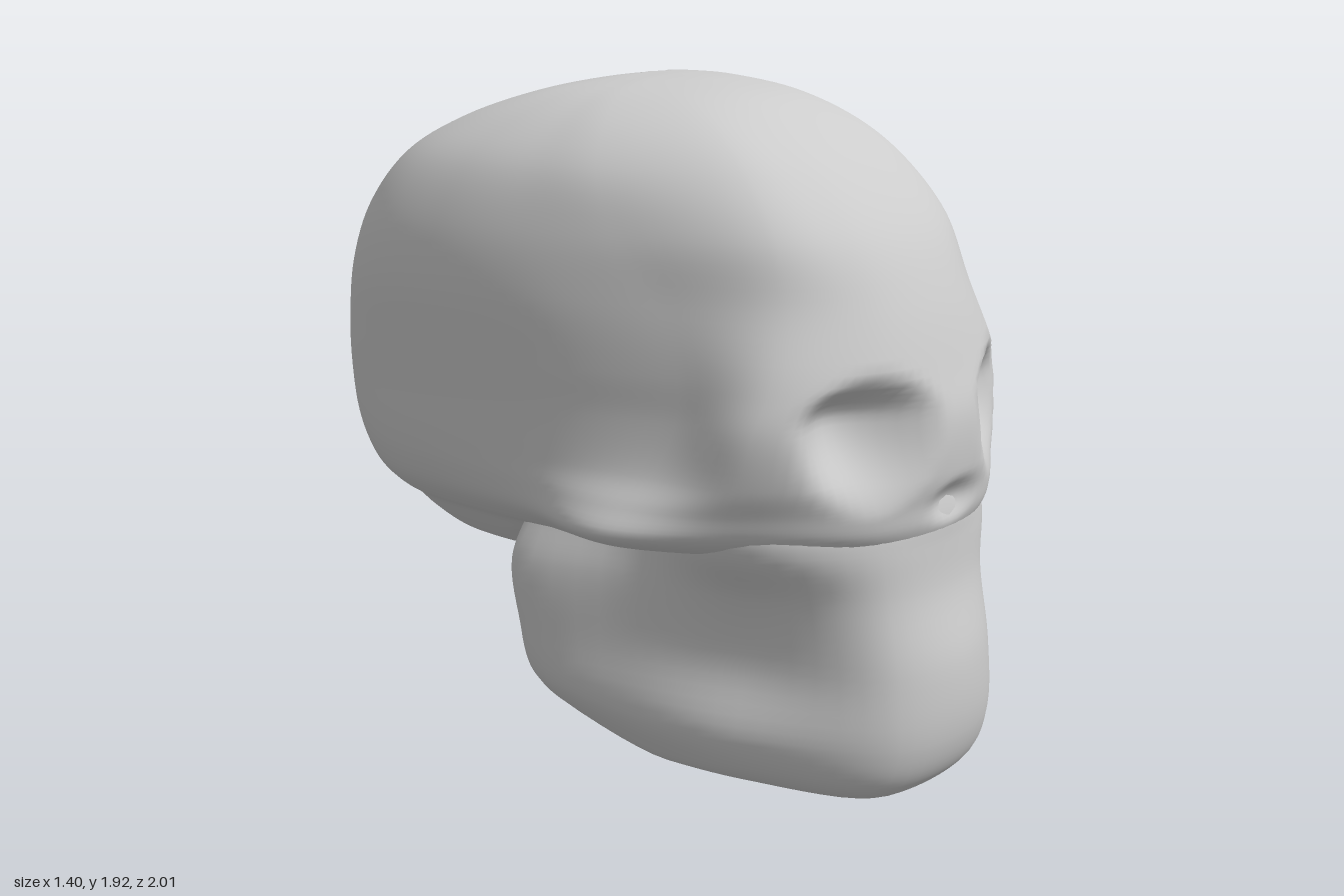
import * as THREE from 'three';

const V = (x, z, y) => new THREE.Vector3(x, y, z);
const mirrored = (half) => half.concat(half.slice(1, -1).reverse().map((p) => V(-p.x, p.z, p.y)));

// Smooth closed skin through horizontal rings listed from top to bottom
function loft(rings, perRing, perLevel, capped, shape) {
  const cols = rings[0].length * perRing;
  const curves = rings.map((r) => new THREE.CatmullRomCurve3(r, true));
  const rows = (rings.length - 1) * perLevel + 1;
  const grid = Array.from({ length: rows }, () => []);
  for (let j = 0; j < cols; j++) {
    const column = new THREE.CatmullRomCurve3(curves.map((c) => c.getPoint(j / cols)));
    for (let i = 0; i < rows; i++) grid[i].push(shape(column.getPoint(i / (rows - 1))));
  }
  if (capped) {
    const centre = (r) => r.reduce((s, p) => s.add(p), V(0, 0, 0)).divideScalar(cols);
    const top = centre(grid[0]), bottom = centre(grid[rows - 1]);
    grid.unshift(grid[0].map(() => top));
    grid.push(grid[0].map(() => bottom));
  }
  const index = [];
  for (let i = 0; i < grid.length - 1; i++) {
    for (let j = 0; j < cols; j++) {
      const k = (j + 1) % cols;
      const a = i * cols + j, b = a + cols, c = i * cols + k, d = c + cols;
      index.push(a, b, c, c, b, d);
    }
  }
  const g = new THREE.BufferGeometry().setFromPoints(grid.flat());
  g.setIndex(index);
  g.computeVertexNormals();
  return g;
}

// Cranium and upper face: y, front z, brow corner x z, temple x z, half width, back z
const skullLevels = [
  [1.93, 0.04, 0.03, 0.03, 0.04, 0.01, 0.04, -0.04],
  [1.918, 0.17, 0.12, 0.12, 0.18, 0.03, 0.19, -0.16],
  [1.88, 0.34, 0.24, 0.24, 0.33, 0.06, 0.35, -0.34],
  [1.8, 0.5, 0.32, 0.4, 0.46, 0.12, 0.49, -0.58],
  [1.7, 0.64, 0.37, 0.52, 0.54, 0.17, 0.59, -0.755],
  [1.55, 0.78, 0.41, 0.63, 0.57, 0.25, 0.655, -0.88],
  [1.38, 0.87, 0.43, 0.68, 0.55, 0.38, 0.68, -0.95],
  [1.2, 0.935, 0.5, 0.71, 0.55, 0.45, 0.67, -0.99],
  [1.08, 0.97, 0.55, 0.69, 0.56, 0.45, 0.66, -1.0],
  [0.94, 0.97, 0.56, 0.66, 0.6, 0.4, 0.655, -0.98],
  [0.86, 0.955, 0.56, 0.62, 0.66, 0.34, 0.645, -0.95],
  [0.79, 0.945, 0.54, 0.61, 0.7, 0.31, 0.62, -0.915],
  [0.735, 0.915, 0.47, 0.58, 0.61, 0.29, 0.57, -0.88],
  [0.7, 0.85, 0.38, 0.48, 0.46, 0.2, 0.52, -0.85],
  [0.64, -0.08, 0.3, -0.1, 0.42, -0.14, 0.46, -0.81],
  [0.58, -0.2, 0.25, -0.21, 0.36, -0.23, 0.38, -0.73],
  [0.55, -0.3, 0.12, -0.32, 0.2, -0.38, 0.24, -0.62],
];

function skullRing([y, zf, x1, z1, x2, z2, w, zb]) {
  const half = [V(0, zf, y), V(x1 * 0.55, z1 + (zf - z1) * 0.78, y), V(x1, z1, y), V(x2, z2, y)];
  const zw = Math.min(zb * 0.35, z2 - 0.08);
  half.push(V(x2 + (w - x2) * 0.78, (z2 + zw) / 2, y));
  // rounded back of the head
  for (let k = 0; k <= 4; k++) {
    const a = (k / 4) * Math.PI / 2;
    const e = 2 / 2.5;
    half.push(V(k === 4 ? 0 : w * Math.cos(a) ** e, zw + (zb - zw) * Math.sin(a) ** e, y));
  }
  return mirrored(half);
}

// Soft hollow that fades to nothing at its rim
const hollow = (dx, dy) => Math.max(0, 1 - dx * dx - dy * dy) ** 1.8;

function carveFace(p) {
  if (p.z > 0.45 && p.y > 0.7) {
    const dx = (Math.abs(p.x) - 0.29) / 0.21;
    const dy = p.y - 1.09;
    const socket = hollow(dx, dy / (dy > 0 ? 0.13 : 0.25));
    const nose = hollow(p.x / 0.13, (p.y - 0.85) / 0.07);
    p.z -= 0.15 * socket + 0.03 * nose;
  }
  return p;
}

// Jaw: y, pinch, front z, then x z of front corner, cheek, ramus and rear edge
const jawLevels = [
  [0.88, 0, 0.92, 0.27, 0.83, 0.5, 0.58, 0.46, 0.2, 0.46, -0.04],
  [0.8, 0, 0.938, 0.285, 0.86, 0.525, 0.6, 0.46, 0.2, 0.48, -0.09],
  [0.73, 0, 0.94, 0.285, 0.87, 0.51, 0.6, 0.46, 0.2, 0.51, -0.12],
  [0.6, 0, 0.95, 0.265, 0.88, 0.43, 0.58, 0.485, 0.2, 0.55, -0.15],
  [0.4, 0, 1.0, 0.26, 0.91, 0.395, 0.56, 0.49, 0.2, 0.54, -0.13],
  [0.2, 0, 1.0, 0.26, 0.92, 0.44, 0.56, 0.5, 0.22, 0.51, -0.11],
  [0.09, 0.1, 0.975, 0.26, 0.9, 0.42, 0.56, 0.46, 0.24, 0.47, -0.07],
  [0.035, 0.45, 0.965, 0.26, 0.89, 0.41, 0.56, 0.45, 0.25, 0.45, -0.02],
  [0.01, 1.06, 0.965, 0.25, 0.89, 0.4, 0.56, 0.44, 0.25, 0.44, 0.02],
];

function jawRing([y, pinch, zf, x1, z1, x2, z2, x3, z3, x4, z4]) {
  const outer = [V(0, zf, y), V(x1, z1, y), V(x2, z2, y), V(x3, z3, y), V(x4, z4, y)];
  const inner = [V(0, zf - 0.3, y), V(x1 - 0.12, z1 - 0.25, y), V(x2 - 0.18, z2 - 0.12, y),
    V(x3 - 0.2, z3 - 0.02, y), V(x4 - 0.19, z4 + 0.05, y)];
  const o = outer.map((p, i) => p.clone().lerp(inner[i], pinch / 2));
  const n = inner.map((p, i) => p.clone().lerp(outer[i], pinch / 2));
  return mirrored([...o, ...n.reverse()]);
}

// Lower edge rises toward the jaw angle
function liftJaw(p) {
  const rear = THREE.MathUtils.smoothstep(-p.z, -0.3, 0.14);
  const low = THREE.MathUtils.clamp(1 - p.y / 0.35, 0, 1);
  p.y += (0.03 * THREE.MathUtils.smoothstep(Math.abs(p.x), 0.15, 0.4) + 0.11 * rear) * low;
  return p;
}

export function createModel() {
  const model = new THREE.Group();
  model.name = 'skull';
  const bone = new THREE.MeshStandardMaterial({ color: 0xcccccc });
  const add = (name, geometry) => {
    const mesh = new THREE.Mesh(geometry, bone);
    mesh.name = name;
    model.add(mesh);
  };
  add('cranium', loft(skullLevels.map(skullRing), 9, 6, true, carveFace));
  add('jaw', loft(jawLevels.map(jawRing), 6, 6, false, liftJaw));
  return model;
}
